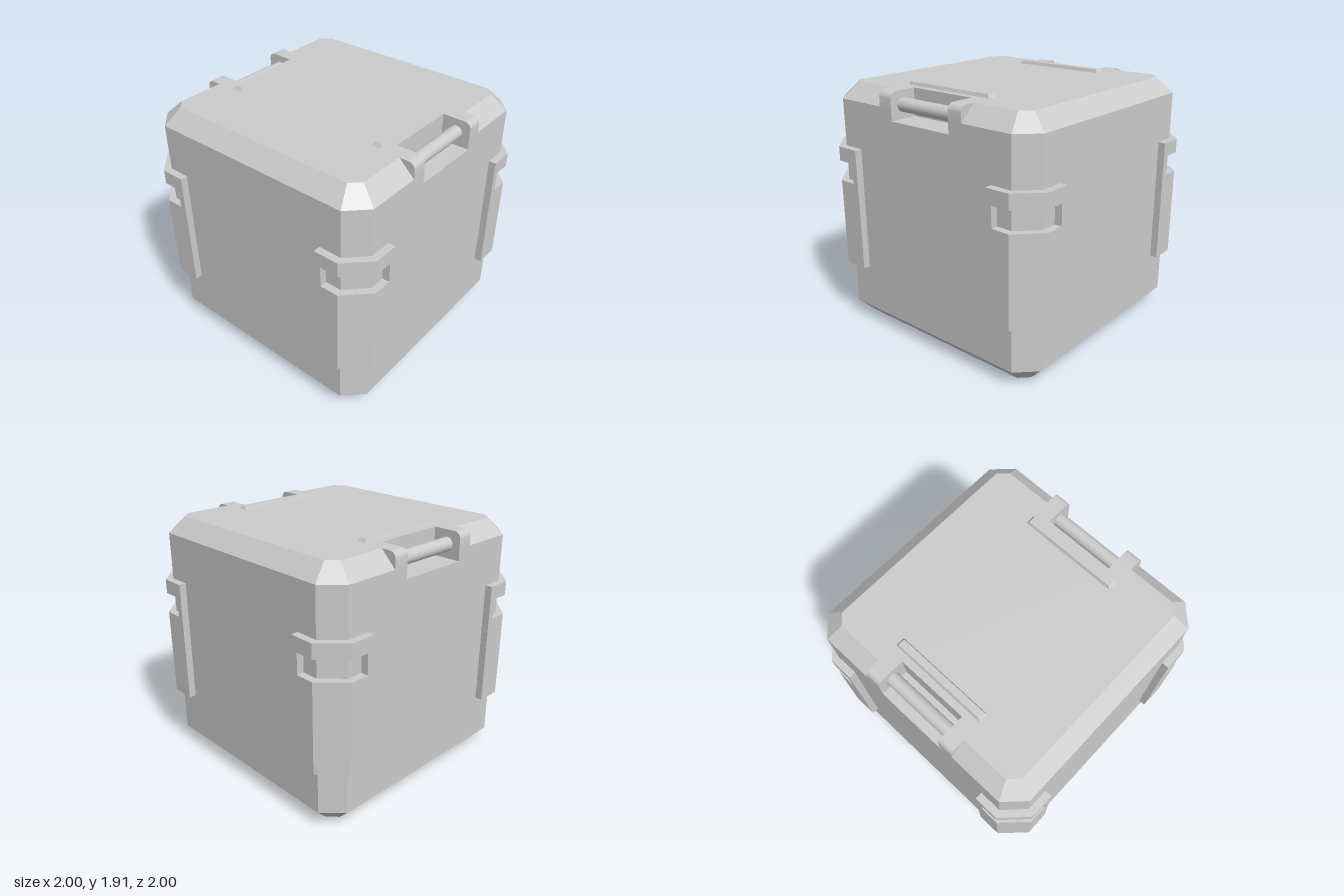
import * as THREE from 'three';
import { ConvexGeometry } from 'three/addons/geometries/ConvexGeometry.js';
import { toCreasedNormals } from 'three/addons/utils/BufferGeometryUtils.js';

const flat = new THREE.MeshStandardMaterial({ color: 0xcccccc, flatShading: true });
const smooth = new THREE.MeshStandardMaterial({ color: 0xcccccc });

const WIDE = 0.945, NARROW = 0.825;      // half widths at the wall and at the cap
const LOW = 0.125, HIGH = 1.775, TOP = 1.89;
const NOTCH = 0.275;                     // half length of the handle recess

function add(parent, name, geometry, material = flat) {
  const mesh = new THREE.Mesh(geometry, material);
  mesh.name = name;
  parent.add(mesh);
  return mesh;
}

const shapeOf = (pts) => new THREE.Shape(pts.map(([x, y]) => new THREE.Vector2(x, y)));
const extrude = (shape, depth) =>
  new THREE.ExtrudeGeometry(shape, { depth, bevelEnabled: false, curveSegments: 8 });

// Plan outline extruded upwards from y0 to y1
function prism(pts, y0, y1) {
  return extrude(shapeOf(pts), y1 - y0).rotateX(-Math.PI / 2).translate(0, y0, 0);
}

// Chamfered end of the box, beyond the handle recesses
function bodyEnd() {
  const pts = [];
  const rings = [[0, NARROW, 0.755], [LOW, WIDE, 0.805], [HIGH, WIDE, 0.805], [TOP, NARROW, 0.755]];
  for (const [y, half, cut] of rings) {
    for (const s of [-1, 1]) {
      pts.push(new THREE.Vector3(s * half, y, NOTCH),
        new THREE.Vector3(s * half, y, cut),
        new THREE.Vector3(s * cut, y, half));
    }
  }
  return new ConvexGeometry(pts);
}

// Middle of the box, with a recess on each side
function bodyMiddle() {
  const right = [[NARROW, 0], [WIDE, LOW], [WIDE, 1.685], [0.725, 1.685], [0.725, TOP]];
  const left = right.map(([x, y]) => [-x, y]).reverse();
  return extrude(shapeOf([...right, ...left]), 2 * NOTCH).translate(0, 0, -NOTCH);
}

// Handle bar with its two rounded brackets and the rail beside it, on +x
function handle() {
  const g = new THREE.Group();
  const r = 0.05;
  const s = new THREE.Shape();
  s.moveTo(0.8, HIGH);
  s.lineTo(WIDE, HIGH);
  s.lineTo(WIDE, TOP - r);
  s.absarc(WIDE - r, TOP - r, r, 0, Math.PI / 2, false);
  s.lineTo(NARROW, TOP);
  s.lineTo(0.8, TOP - 0.025);
  const bracket = toCreasedNormals(extrude(s, 0.117), 0.6);
  for (const z of [NOTCH, -NOTCH - 0.117]) add(g, 'handleBracket', bracket, smooth).position.z = z;

  const bar = new THREE.CylinderGeometry(0.051, 0.051, 2 * NOTCH + 0.02, 24).rotateX(Math.PI / 2);
  add(g, 'handleBar', bar, smooth).position.set(0.834, 1.787, 0);

  // Rail: a thin box whose upper face is drawn in
  const rail = new THREE.BoxGeometry(0.08, 0.035, 0.785);
  const p = rail.attributes.position;
  for (let i = 0; i < p.count; i++) {
    if (p.getY(i) > 0) {
      p.setX(i, Math.sign(p.getX(i)) * 0.026);
      p.setZ(i, Math.sign(p.getZ(i)) * 0.367);
    }
  }
  add(g, 'topRail', rail).position.set(0.638, 1.8975, 0);
  return g;
}

// Guard wrapping one vertical corner, with a slot cut across it
function cornerGuard() {
  const g = new THREE.Group();
  const wrap = [[0.635, WIDE], [0.805, WIDE], [WIDE, 0.805], [WIDE, 0.635],
    [1, 0.635], [1, 0.825], [0.825, 1], [0.635, 1]];
  const post = [[0.635, WIDE], [0.685, WIDE], [0.685, 1], [0.635, 1]];
  const sidePost = post.map(([x, y]) => [y, x]);
  add(g, 'guardPlate', prism(wrap, 0.475, 1.155));
  add(g, 'guardTop', prism(wrap, 1.31, 1.42));
  add(g, 'guardPost', prism(post, 1.155, 1.31));
  add(g, 'guardPost', prism(sidePost, 1.155, 1.31));
  return g;
}

export function createModel() {
  const model = new THREE.Group();
  model.name = 'crate';

  add(model, 'bodyMiddle', bodyMiddle());
  const end = bodyEnd();
  add(model, 'bodyFront', end);
  add(model, 'bodyBack', end).rotation.y = Math.PI;

  for (const [name, turn] of [['leftHandle', 0], ['rightHandle', Math.PI]]) {
    const h = handle();
    h.name = name;
    h.rotation.y = turn;
    model.add(h);
  }

  for (let i = 0; i < 4; i++) {
    const guard = cornerGuard();
    guard.name = 'cornerGuard';
    guard.rotation.y = i * Math.PI / 2;
    model.add(guard);
  }
  return model;
}
